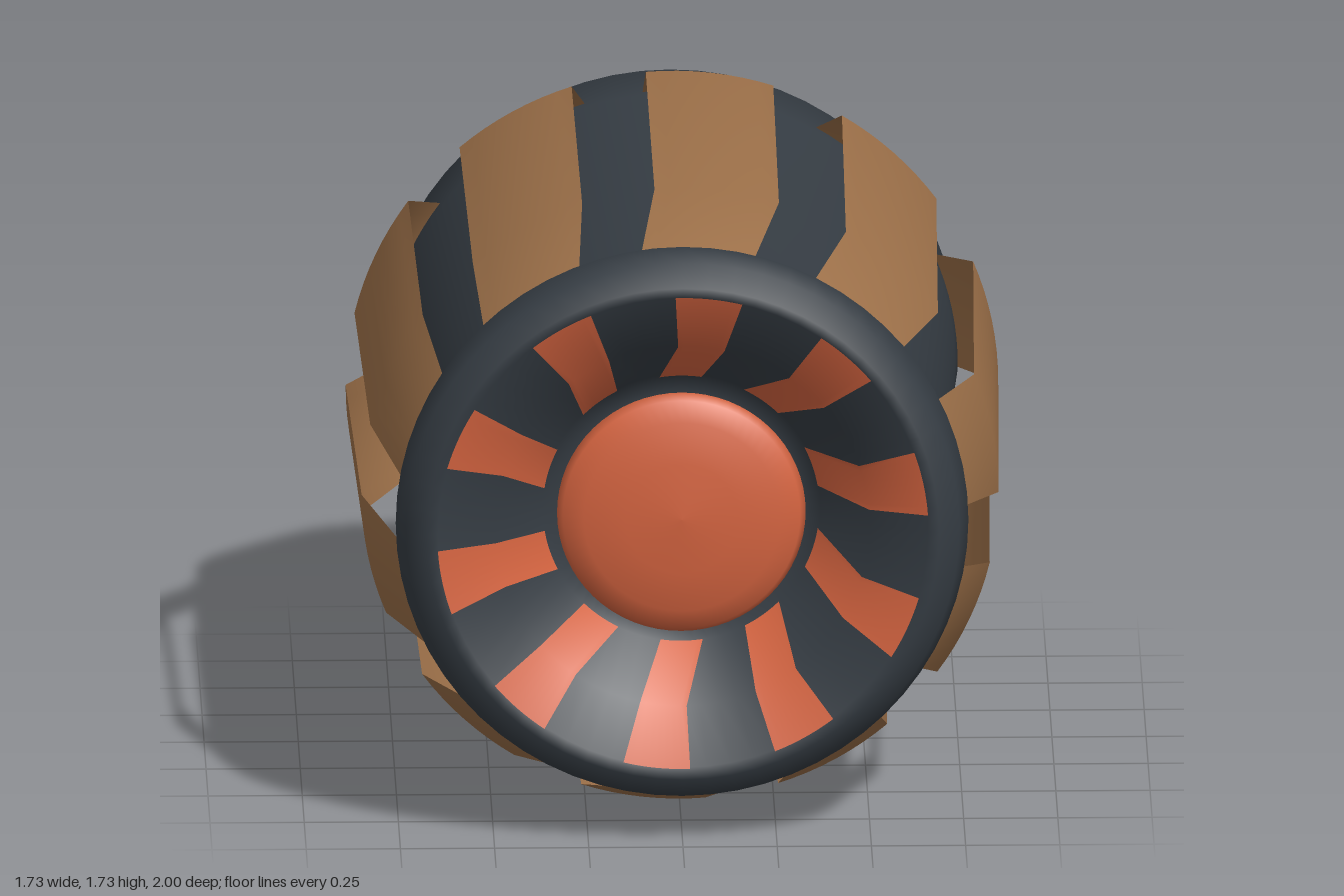
import * as THREE from 'three';

const DEG = Math.PI / 180;
const COUNT = 10;

// Surface of revolution about z from [radius, z] points, back to front
function turned(points) {
  const geo = new THREE.LatheGeometry(points.map(([r, z]) => new THREE.Vector2(r, z)), 64);
  return geo.rotateX(Math.PI / 2);
}

// Curved sheet through arcs [radius, z, startDeg, endDeg], angles clockwise from the top
function sheet(arcs, steps = 8) {
  const pos = [], idx = [];
  arcs.forEach(([r, z, a0, a1], i) => {
    for (let j = 0; j <= steps; j++) {
      const a = (a0 + (a1 - a0) * j / steps) * DEG;
      pos.push(r * Math.sin(a), r * Math.cos(a), z);
      if (i < arcs.length - 1 && j < steps) {
        const p = i * (steps + 1) + j, q = p + steps + 1;
        idx.push(p, p + 1, q, p + 1, q + 1, q);
      }
    }
  });
  const geo = new THREE.BufferGeometry();
  geo.setAttribute('position', new THREE.Float32BufferAttribute(pos, 3));
  geo.setIndex(idx);
  geo.computeVertexNormals();
  return geo;
}

export function createModel() {
  const model = new THREE.Group();
  model.name = 'engine';

  const dark = new THREE.MeshStandardMaterial({ name: 'dark slate', color: 0x353c43 });
  const bronze = new THREE.MeshStandardMaterial({ name: 'bronze', color: 0x9b6f48, side: THREE.DoubleSide });
  const orange = new THREE.MeshStandardMaterial({ name: 'glow orange', color: 0xd56440, side: THREE.DoubleSide });

  // Everything turns about a z axis raised to the body's centre
  const drum = new THREE.Group();
  drum.name = 'drum';
  drum.position.y = 0.872;
  model.add(drum);

  const add = (name, geo, mat) => {
    const mesh = new THREE.Mesh(geo, mat);
    mesh.name = name;
    drum.add(mesh);
    return mesh;
  };

  // Body: closed back, waisted middle, rounded lip and front funnel
  add('body', turned([
    [0, -1], [0.59, -1], [0.768, -0.74], [0.755, -0.56],
    [0.69, 0.65], [0.76, 0.88], [0.735, 0.95], [0.68, 1],
    [0.65, 0.985], [0.5, 0.92], [0.37, 0.75], [0.31, 0.71], [0, 0.71],
  ]), dark);

  // Shallow dome in the middle of the funnel
  add('dome', turned([
    [0.3, 0.71], [0.33, 0.79], [0.315, 0.815], [0.26, 0.84], [0.15, 0.86], [0, 0.868],
  ]), orange);

  // Slats around the outside and glowing vents in the funnel
  const slat = sheet([
    [0.755, 0.885, -8.2, 14.8],
    [0.845, 0.62, -4.6, 18.1],
    [0.866, -0.4, -4.6, 18.1],
    [0.762, -0.565, -5.6, 18.6],
  ]);
  const vent = sheet([
    [0.367, 0.757, -9, 8.5],
    [0.497, 0.927, -1.3, 13],
    [0.652, 0.993, -1.7, 14],
  ]);
  for (let i = 0; i < COUNT; i++) {
    const turn = -i * 2 * Math.PI / COUNT;
    add('slat', slat, bronze).rotation.z = turn;
    add('vent', vent, orange).rotation.z = turn;
  }

  return model;
}
